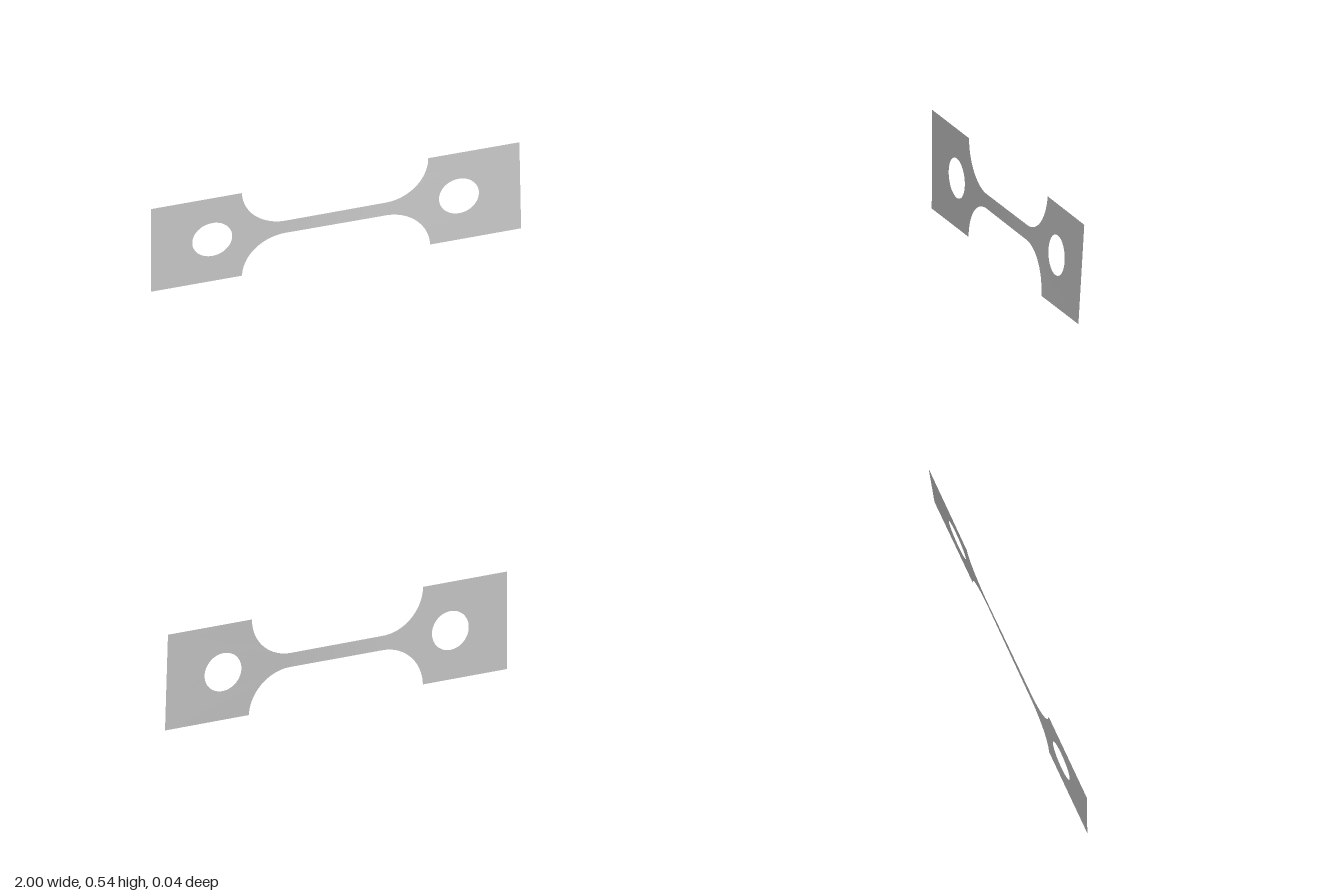
import * as THREE from 'three';

const H = 0.543, MID = H / 2;          // sheet height and centre line
const NECK = 0.27, HALF = 0.04;        // neck half length and half height
const R = 0.237, END = Math.asin((MID - HALF - R) / -R); // fillet radius, angle where it meets the edge

// Tilt the sheet about its centre line, turning along the neck and easing back slightly at the far end
function twist(geometry) {
  const p = geometry.attributes.position;
  for (let i = 0; i < p.count; i++) {
    const x = p.getX(i);
    const t = THREE.MathUtils.clamp((x + NECK) / (2 * NECK), 0, 1);
    const slope = THREE.MathUtils.lerp(0.005, 0.066, t) - 0.01 * Math.max(0, x - 0.5);
    p.setZ(i, 0.001 - slope * (p.getY(i) - MID));
  }
  geometry.computeVertexNormals();
  return geometry;
}

// Grip tab with filleted shoulders and a round hole; side is +1 or -1
function tabShape(side) {
  const outline = new THREE.Shape();
  outline.moveTo(NECK, MID - HALF);
  outline.absarc(NECK, MID - HALF - R, R, Math.PI / 2, END, true);
  outline.lineTo(1, 0);
  outline.lineTo(1, H);
  outline.absarc(NECK, MID + HALF + R, R, -END, -Math.PI / 2, true);
  const points = outline.getPoints(24).map(p => new THREE.Vector2(p.x * side, p.y));
  const shape = new THREE.Shape(points);
  const hole = new THREE.Path();
  hole.absarc(0.668 * side, MID + 0.001, 0.108, 0, Math.PI * 2, true);
  shape.holes.push(hole);
  return shape;
}

export function createModel() {
  const group = new THREE.Group();
  const metal = new THREE.MeshStandardMaterial({ color: 0xc6c6c6, side: THREE.DoubleSide });
  metal.name = 'light grey metal';

  const add = (name, geometry) => {
    const mesh = new THREE.Mesh(twist(geometry), metal);
    mesh.name = name;
    group.add(mesh);
  };

  // Grip tabs
  add('leftTab', new THREE.ShapeGeometry(tabShape(1), 32));
  add('rightTab', new THREE.ShapeGeometry(tabShape(-1), 32));

  // Narrow neck between the tabs
  const neck = new THREE.PlaneGeometry(2 * NECK, 2 * HALF, 24, 1);
  neck.translate(0, MID, 0);
  add('neck', neck);

  return group;
}
